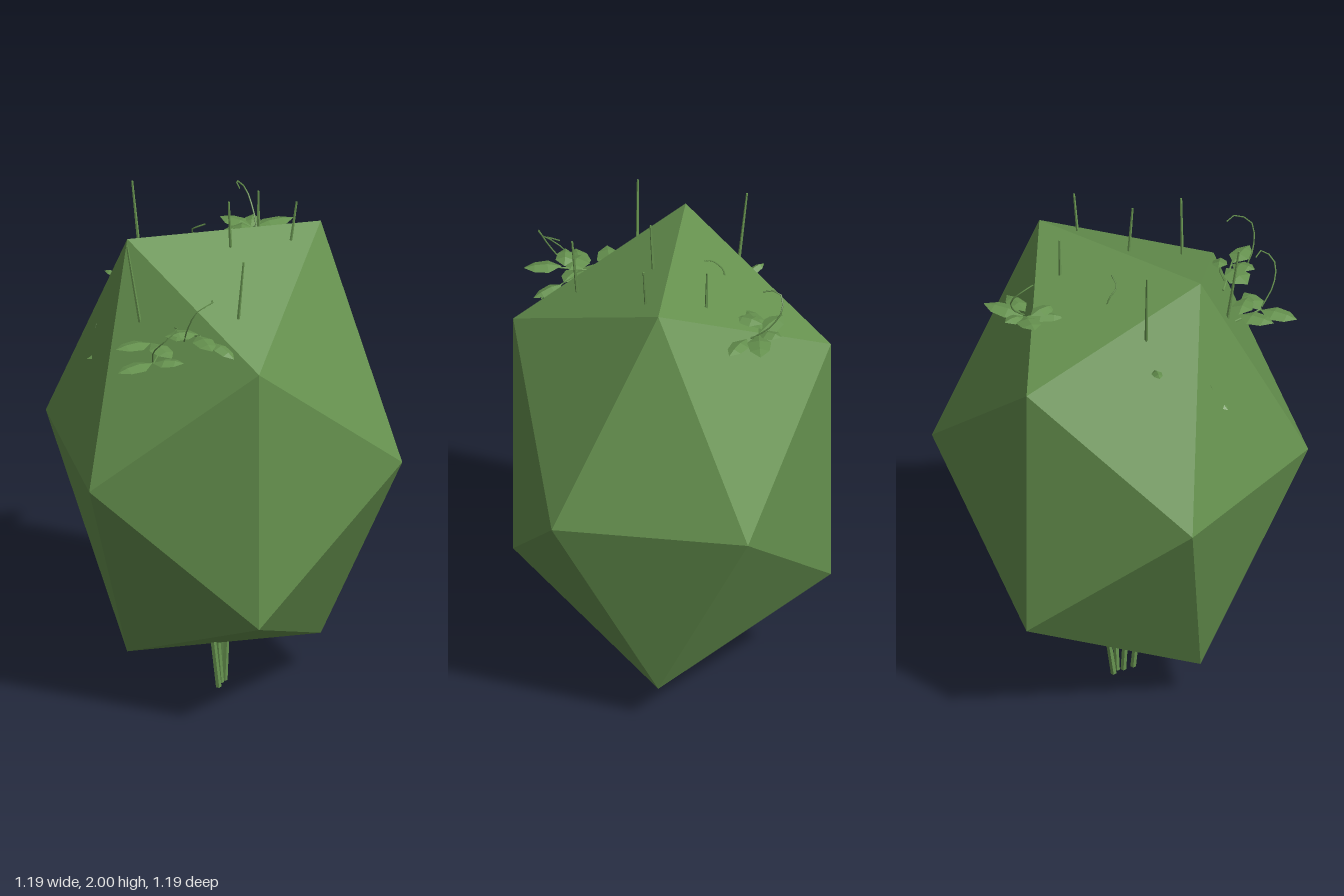
import * as THREE from 'three';

const V = (p) => new THREE.Vector3(...p);

export function createModel() {
  const group = new THREE.Group();
  group.name = 'shrub';
  const green = new THREE.MeshStandardMaterial({ color: 0x66924f, side: THREE.DoubleSide });
  green.name = 'leafGreen';

  const add = (name, geometry) => {
    const mesh = new THREE.Mesh(geometry, green);
    mesh.name = name;
    group.add(mesh);
    return mesh;
  };

  // Straight tapered stick between two points
  const stick = (name, from, to, r0, r1) => {
    const a = V(from), dir = V(to).sub(a);
    const geo = new THREE.CylinderGeometry(r1, r0, dir.length(), 5).toNonIndexed();
    geo.computeVertexNormals();
    const mesh = add(name, geo);
    mesh.position.copy(a).addScaledVector(dir, 0.5);
    mesh.quaternion.setFromUnitVectors(new THREE.Vector3(0, 1, 0), dir.normalize());
  };

  // Thin curling tendril
  const tendril = (points) => add('tendril',
    new THREE.TubeGeometry(new THREE.CatmullRomCurve3(points.map(V)), 8, 0.003, 4));

  // Faceted leaf, raised along its midrib, from stalk to tip
  const leaf = (from, to, width, fold = 0.012) => {
    const a = V(from), b = V(to);
    const side = new THREE.Vector3().subVectors(b, a).cross(new THREE.Vector3(0, 1, 0)).normalize();
    const at = (t, s, lift) => a.clone().lerp(b, t).addScaledVector(side, s * width / 2)
      .add(new THREE.Vector3(0, lift, 0));
    const m1 = at(0.38, 0, fold), m2 = at(0.72, 0, fold * 0.8);
    const verts = [];
    for (const s of [-1, 1]) {
      const e1 = at(0.35, s, 0), e2 = at(0.72, s * 0.8, 0);
      const tris = [[a, m1, e1], [e1, m1, m2], [e1, m2, e2], [e2, m2, b]];
      for (const [p, q, r] of tris) verts.push(...(s > 0 ? [p, r, q] : [p, q, r]));
    }
    const geo = new THREE.BufferGeometry().setFromPoints(verts);
    geo.computeVertexNormals();
    add('leaf', geo);
  };

  // Faceted foliage body
  const body = new THREE.IcosahedronGeometry(1, 0);
  body.scale(0.699, 0.993, 0.699);
  body.translate(0, 1.005, 0);
  add('foliageBody', body);

  // Stems under the body
  [
    [[-0.03, 0, 0.042], [-0.062, 0.3, 0.042]],
    [[-0.012, 0, 0.005], [-0.035, 0.3, 0.0]],
    [[0.005, 0, -0.012], [0.018, 0.3, -0.015]],
    [[0.0, 0, -0.04], [0.022, 0.3, -0.075]],
  ].forEach(([a, b]) => stick('stem', a, b, 0.011, 0.011));

  // Twigs poking out of the top
  [
    [[-0.355, 1.56, 0.18], [-0.41, 1.91, 0.185]],
    [[-0.27, 1.65, -0.21], [-0.295, 1.97, -0.24]],
    [[0.012, 1.75, 0.065], [0, 2.0, 0.08]],
    [[-0.03, 1.6, 0.355], [-0.01, 1.89, 0.375]],
    [[0.165, 1.7, -0.15], [0.165, 1.92, -0.155]],
    [[0.225, 1.7, 0.06], [0.26, 1.97, 0.07]],
  ].forEach(([a, b]) => stick('twig', a, b, 0.007, 0.004));

  // Sprig on the front shoulder
  [
    [[-0.34, 1.55, 0.28], [-0.48, 1.55, 0.31], 0.09],
    [[-0.34, 1.55, 0.28], [-0.29, 1.54, 0.41], 0.08],
    [[-0.36, 1.52, 0.39], [-0.5, 1.51, 0.43], 0.09],
    [[-0.36, 1.52, 0.39], [-0.25, 1.53, 0.44], 0.08],
    [[-0.31, 1.62, 0.38], [-0.19, 1.63, 0.41], 0.1],
    [[-0.2, 1.64, 0.43], [-0.3, 1.65, 0.44], 0.07],
    [[-0.2, 1.64, 0.44], [-0.175, 1.635, 0.58], 0.08],
    [[-0.14, 1.6, 0.43], [-0.08, 1.57, 0.53], 0.06],
  ].forEach((l) => leaf(...l));
  stick('sprigStalk', [-0.3, 1.5, 0.25], [-0.36, 1.52, 0.4], 0.005, 0.003);
  stick('sprigStalk', [-0.24, 1.6, 0.32], [-0.19, 1.64, 0.45], 0.005, 0.003);
  tendril([[-0.36, 1.53, 0.4], [-0.37, 1.6, 0.46], [-0.34, 1.66, 0.51], [-0.29, 1.7, 0.5], [-0.29, 1.69, 0.46]]);
  tendril([[-0.25, 1.62, 0.44], [-0.25, 1.7, 0.5], [-0.22, 1.78, 0.53], [-0.16, 1.8, 0.51], [-0.15, 1.79, 0.47]]);
  tendril([[-0.22, 1.61, 0.36], [-0.17, 1.61, 0.4], [-0.12, 1.58, 0.47], [-0.08, 1.57, 0.5]]);

  // Sprig on the back shoulder
  [
    [[0.19, 1.68, -0.35], [0.35, 1.69, -0.38], 0.09],
    [[0.21, 1.67, -0.31], [0.33, 1.67, -0.26], 0.07],
    [[0.19, 1.68, -0.35], [0.08, 1.7, -0.43], 0.09],
    [[0.18, 1.68, -0.35], [0.21, 1.69, -0.44], 0.07],
    [[0.17, 1.69, -0.36], [0.05, 1.69, -0.28], 0.07],
    [[0.15, 1.7, -0.36], [0.12, 1.7, -0.25], 0.07],
  ].forEach((l) => leaf(...l));
  stick('sprigStalk', [0.17, 1.62, -0.26], [0.19, 1.68, -0.36], 0.005, 0.003);
  tendril([[0.2, 1.67, -0.33], [0.2, 1.73, -0.4], [0.18, 1.8, -0.44], [0.14, 1.845, -0.42], [0.14, 1.84, -0.36]]);

  // Small bits breaking through the surface
  tendril([[-0.07, 1.72, -0.19], [-0.08, 1.77, -0.18], [-0.085, 1.8, -0.14], [-0.045, 1.825, -0.115]]);
  tendril([[-0.45, 1.38, -0.05], [-0.47, 1.46, -0.07], [-0.455, 1.5, -0.09]]);
  leaf([-0.44, 1.38, -0.02], [-0.515, 1.36, -0.03], 0.04);
  leaf([-0.33, 1.58, -0.24], [-0.39, 1.59, -0.29], 0.04);

  return group;
}
